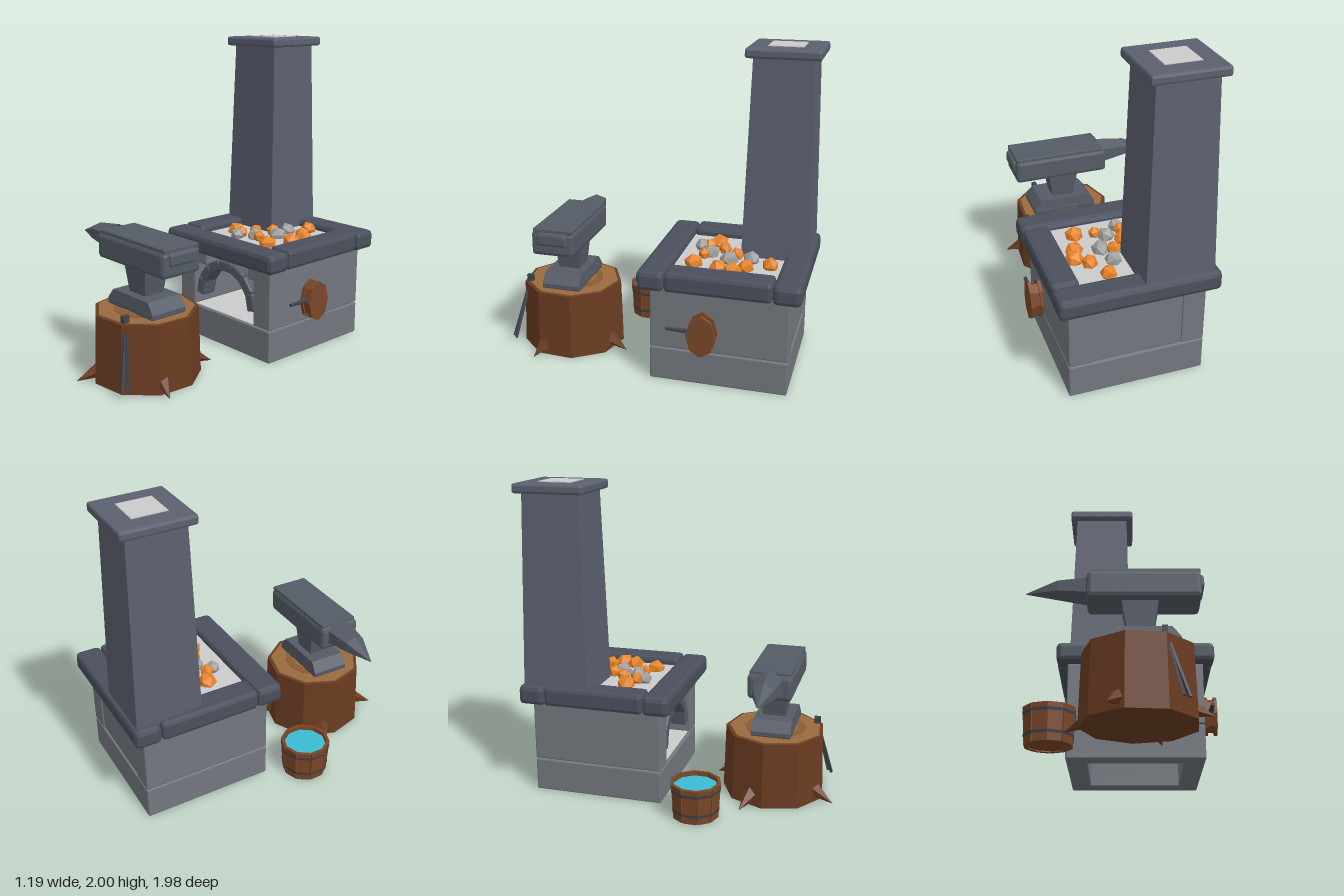
import * as THREE from 'three';
import { RoundedBoxGeometry } from 'three/addons/geometries/RoundedBoxGeometry.js';

const mat = (color, side = THREE.FrontSide) => new THREE.MeshStandardMaterial({ color, flatShading: true, side });
const M = {
  rim: mat(0x4b505d), chimney: mat(0x5c6170), stone: mat(0x73787f), iron: mat(0x555b66), dark: mat(0x3f434c),
  bark: mat(0x6b3c22), wood: mat(0x9a6a3c), ring: mat(0x8a5c33), board: mat(0x7a4728), water: mat(0x3bbdd3),
  ember: mat(0xe8842a), ash: mat(0xcccccc), coal: mat(0xa0a0a0),
};

export function createModel() {
  const root = new THREE.Group();
  const group = (name, x = 0, y = 0, z = 0) => {
    const g = new THREE.Group();
    g.name = name;
    g.position.set(x, y, z);
    root.add(g);
    return g;
  };
  const add = (parent, name, geo, material, x = 0, y = 0, z = 0) => {
    const m = new THREE.Mesh(geo, material);
    m.name = name;
    m.position.set(x, y, z);
    parent.add(m);
    return m;
  };
  // Chamfered block given by its min and max on each axis
  const block = (parent, name, material, [x0, x1], [y0, y1], [z0, z1], r = 0.008) =>
    add(parent, name, new RoundedBoxGeometry(x1 - x0, y1 - y0, z1 - z0, 1, r), material,
      (x0 + x1) / 2, (y0 + y1) / 2, (z0 + z1) / 2);
  // Four-sided frustum with separate half widths at bottom and top
  const frustum = (parent, name, material, bw, bd, tw, td, y0, y1, x, z) => {
    const geo = new THREE.BoxGeometry(2, y1 - y0, 2);
    const p = geo.attributes.position;
    for (let i = 0; i < p.count; i++) {
      const top = p.getY(i) > 0;
      p.setX(i, p.getX(i) * (top ? tw : bw));
      p.setZ(i, p.getZ(i) * (top ? td : bd));
    }
    return add(parent, name, geo, material, x, (y0 + y1) / 2, z);
  };
  // Aim a mesh built along +y from point a to point b
  const aim = (mesh, a, b) => {
    mesh.position.copy(a).lerp(b, 0.5);
    mesh.quaternion.setFromUnitVectors(new THREE.Vector3(0, 1, 0), b.clone().sub(a).normalize());
  };
  const V = (x, y, z) => new THREE.Vector3(x, y, z);

  // Forge: hollow plinth, two side walls, back wall and open front
  const forge = group('forge');
  block(forge, 'plinthFront', M.stone, [-0.36, 0.49], [0, 0.212], [-0.2, -0.07]);
  block(forge, 'plinthBack', M.stone, [-0.36, 0.49], [0, 0.212], [-0.92, -0.79]);
  for (const [x0, x1] of [[-0.36, -0.23], [0.36, 0.49]])
    block(forge, 'plinthSide', M.stone, [x0, x1], [0, 0.212], [-0.918, -0.072]);
  for (const [x0, x1] of [[-0.36, -0.215], [0.345, 0.49]])
    block(forge, 'sideWall', M.stone, [x0, x1], [0.218, 0.61], [-0.92, -0.07]);
  block(forge, 'backWall', M.stone, [-0.22, 0.35], [0.218, 0.61], [-0.912, -0.78]);
  block(forge, 'hearthFloor', M.ash, [-0.25, 0.38], [0.17, 0.216], [-0.82, -0.09]);
  block(forge, 'coalBed', M.ash, [-0.3, 0.43], [0.61, 0.685], [-0.86, -0.13]);

  // Arch of dark stones in the front opening, with corner corbels
  for (let i = 0; i < 7; i++) {
    const a = (i + 0.5) * Math.PI / 7;
    const s = add(forge, 'archStone', new RoundedBoxGeometry(0.07, 0.118, 0.11, 1, 0.012), M.iron,
      0.065 + 0.24 * Math.cos(a), 0.3 + 0.24 * Math.sin(a), -0.135);
    s.rotation.z = a;
  }
  block(forge, 'corbel', M.stone, [-0.215, -0.13], [0.5, 0.61], [-0.2, -0.1]);
  block(forge, 'corbel', M.stone, [0.26, 0.345], [0.5, 0.61], [-0.2, -0.1]);

  // Heavy rim stones around the fire
  block(forge, 'rimFront', M.rim, [-0.43, 0.56], [0.605, 0.73], [-0.17, 0], 0.03);
  block(forge, 'rimBack', M.rim, [-0.43, 0.56], [0.605, 0.73], [-0.99, -0.82], 0.03);
  block(forge, 'rimLeft', M.rim, [0.385, 0.555], [0.608, 0.735], [-0.82, -0.17], 0.025);
  block(forge, 'rimRight', M.rim, [-0.43, -0.26], [0.608, 0.735], [-0.82, -0.17], 0.025);

  // Chimney and cap
  const chimney = group('chimney');
  frustum(chimney, 'flue', M.chimney, 0.213, 0.213, 0.182, 0.182, 0.685, 1.94, -0.172, -0.752);
  block(chimney, 'cap', M.chimney, [-0.4, 0.055], [1.935, 1.995], [-0.98, -0.525], 0.015);
  add(chimney, 'flueOpening', new THREE.BoxGeometry(0.215, 0.02, 0.215), M.ash, -0.172, 1.99, -0.752);

  // Embers and burnt coals as x, z, radius
  const coals = group('coals');
  const lumps = (name, material, list) => list.forEach(([x, z, r], i) => {
    const m = add(coals, name, new THREE.IcosahedronGeometry(r, 0), material, x, 0.752 - r * 0.92, z);
    m.rotation.set(i * 1.3, i * 2.1, i * 0.7);
  });
  lumps('ember', M.ember, [[0.19, -0.75, 0.053], [0.26, -0.61, 0.052], [0.335, -0.54, 0.063], [0.305, -0.45, 0.058],
    [0.075, -0.52, 0.048], [0, -0.43, 0.044], [-0.125, -0.37, 0.062], [-0.035, -0.325, 0.046],
    [0.135, -0.325, 0.04], [0.255, -0.285, 0.062]]);
  lumps('coal', M.coal, [[0.115, -0.62, 0.055], [0.15, -0.485, 0.06], [0.07, -0.355, 0.056], [-0.02, -0.275, 0.047]]);

  // Bellows on the left wall: two boards, a narrower bag and a nozzle
  const bellows = group('bellows', 0.555, 0.368, -0.41);
  for (const [name, x, w, k] of [['board', -0.03, 0.02, 1], ['board', 0.03, 0.02, 1], ['bag', 0, 0.05, 0.85]]) {
    const geo = new THREE.CylinderGeometry(0.132 * k, 0.132 * k, w, 8).rotateZ(Math.PI / 2).scale(1, 1, 0.68);
    add(bellows, name, geo, M.board, x);
  }
  add(bellows, 'nozzle', new THREE.CylinderGeometry(0.011, 0.018, 0.15, 6).rotateX(Math.PI / 2), M.dark, 0, 0.012, 0.145);

  // Stump with growth rings and spiky roots
  const stump = group('stump', 0.08, 0, 0.58);
  const turn = 66 * Math.PI / 180;
  add(stump, 'trunk', new THREE.CylinderGeometry(0.322, 0.335, 0.425, 9, 1, false, turn), M.bark, 0, 0.2125);
  [[0.3, M.wood], [0.2, M.ring], [0.15, M.wood]].forEach(([r, m], i) =>
    add(stump, 'growthRing', new THREE.CylinderGeometry(r, r, 0.012, 9 + i * 3, 1, false, turn), m, 0, 0.424 + i * 0.003));
  for (const [x, z] of [[0.135, -0.41], [-0.415, -0.15], [-0.165, 0.405], [0.395, 0.14]]) {
    const tip = V(x, 0.01, z), base = V(x, 0, z).setLength(0.26).setY(0.085);
    aim(add(stump, 'rootSpike', new THREE.ConeGeometry(0.062, tip.distanceTo(base), 5), M.bark), base, tip);
  }

  // Anvil: foot, waist, body, face plate, heel
  const anvil = group('anvil');
  block(anvil, 'foot', M.iron, [-0.13, 0.31], [0.43, 0.47], [0.455, 0.71]);
  frustum(anvil, 'footSlope', M.iron, 0.22, 0.127, 0.17, 0.122, 0.465, 0.53, 0.09, 0.582);
  frustum(anvil, 'waist', M.iron, 0.073, 0.07, 0.105, 0.087, 0.52, 0.715, 0.087, 0.578);
  block(anvil, 'body', M.iron, [-0.215, 0.43], [0.705, 0.865], [0.442, 0.72], 0.025);
  block(anvil, 'facePlate', M.iron, [-0.19, 0.425], [0.855, 0.882], [0.452, 0.708], 0.005);
  block(anvil, 'heel', M.iron, [0.37, 0.448], [0.775, 0.86], [0.48, 0.68], 0.018);

  // Horn: hexagonal sections lofted to a point, ridge upward
  const sections = [[-0.18, 0.8, 0.094, 0.105], [-0.38, 0.806, 0.062, 0.075], [-0.56, 0.782, 0.003, 0.003]];
  const pos = [], idx = [];
  for (const [x, cy, ry, rz] of sections)
    for (let k = 0; k < 6; k++) {
      const a = k * Math.PI / 3;
      pos.push(x, cy + ry * Math.cos(a), 0.576 + rz * Math.sin(a));
    }
  for (let s = 0; s < 2; s++)
    for (let k = 0; k < 6; k++) {
      const a = s * 6 + k, b = s * 6 + (k + 1) % 6;
      idx.push(a, a + 6, b, b, a + 6, b + 6);
    }
  const horn = new THREE.BufferGeometry();
  horn.setAttribute('position', new THREE.Float32BufferAttribute(pos, 3));
  horn.setIndex(idx);
  horn.computeVertexNormals();
  add(anvil, 'horn', horn, mat(0x555b66, THREE.DoubleSide));

  // Tongs leaning on the stump
  const tongs = group('tongs');
  for (const [x, z] of [[0.33, 0.905], [0.3, 0.93]]) {
    const a = V(0.212, 0.45, 0.83), b = V(x, 0.055, z);
    aim(add(tongs, 'arm', new THREE.BoxGeometry(0.016, a.distanceTo(b), 0.016), M.dark), a, b);
  }
  add(tongs, 'jaw', new THREE.BoxGeometry(0.03, 0.045, 0.04), M.dark, 0.213, 0.45, 0.833);

  // Water bucket: ten leaning staves, two hoops, bottom and water
  const bucket = group('bucket', -0.44, 0, 0.18);
  for (let i = 0; i < 10; i++) {
    const stave = new THREE.Group();
    stave.rotation.y = (i + 0.5) * Math.PI / 5;
    bucket.add(stave);
    const m = frustum(stave, 'stave', M.board, 0.041, 0.01, 0.046, 0.01, 0.002, 0.226, 0, 0.136);
    m.rotation.x = 0.06;
  }
  for (const [y, r] of [[0.055, 0.15], [0.185, 0.158]])
    add(bucket, 'hoop', new THREE.CylinderGeometry(r + 0.003, r, 0.018, 10, 1, true), mat(0x3f434c, THREE.DoubleSide), 0, y);
  add(bucket, 'bottom', new THREE.CylinderGeometry(0.13, 0.13, 0.02, 10), M.board, 0, 0.02);
  add(bucket, 'water', new THREE.CylinderGeometry(0.137, 0.137, 0.01, 10), M.water, 0, 0.195);

  return root;
}
